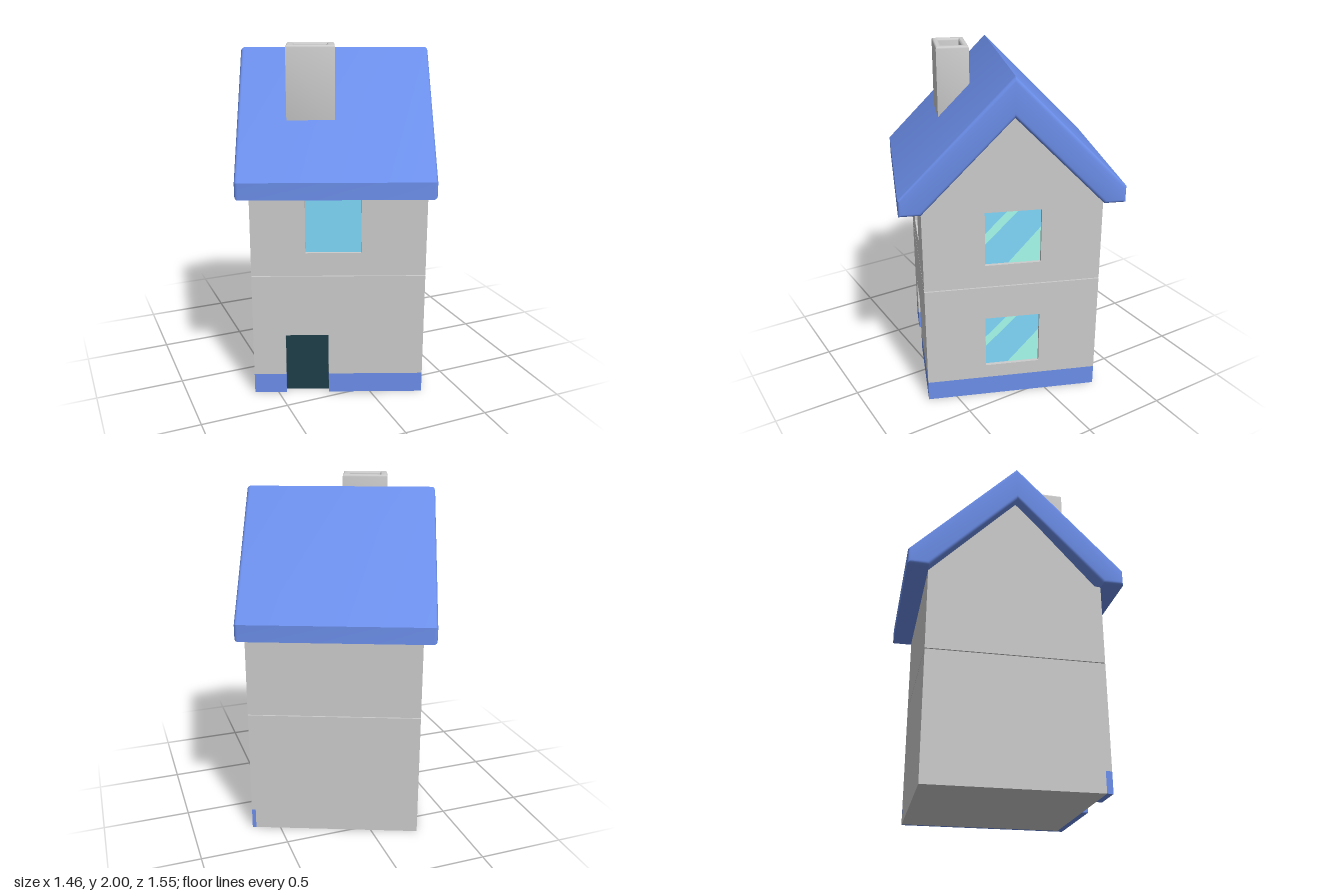
import * as THREE from 'three';
import { toCreasedNormals } from 'three/addons/utils/BufferGeometryUtils.js';

const material = (color, side = THREE.FrontSide) => new THREE.MeshStandardMaterial({ color, side });
const grey = material(0xcccccc);
const blue = material(0x6c8feb);
const glass = material(0x80d8fb);
const glint = material(0xa6fbee, THREE.DoubleSide);
const dark = material(0x1e3e49);

// Wall planes of the house before it is turned
const X0 = -0.475, X1 = 0.505, Z = 0.505;
const GABLE_T = 0.022, FRONT_T = 0.035;
const XI = X1 - GABLE_T, ZI = Z - FRONT_T;
const SPLIT = 0.738, GAP = 0.003, BAND = 0.12;
const EAVE = 1.225, PEAK = 1.745;
const DOOR = [-0.289, -0.041, 0.37];

const poly = (points) => new THREE.Shape(points.map(([x, y]) => new THREE.Vector2(x, y)));
const rect = (x0, y0, x1, y1) => [[x0, y0], [x1, y0], [x1, y1], [x0, y1]];

export function createModel() {
  const house = new THREE.Group();
  house.name = 'house';

  const add = (name, geometry, mat, parent = house) => {
    const mesh = new THREE.Mesh(geometry, mat);
    mesh.name = name;
    parent.add(mesh);
    return mesh;
  };
  const block = (name, mat, [x0, x1], [y0, y1], [z0, z1]) =>
    add(name, new THREE.BoxGeometry(x1 - x0, y1 - y0, z1 - z0), mat)
      .position.set((x0 + x1) / 2, (y0 + y1) / 2, (z0 + z1) / 2);
  // Wall slab facing +z, or +x when turned
  const slab = (name, points, depth, hole) => {
    const shape = poly(points);
    if (hole) shape.holes.push(poly(rect(...hole)));
    return add(name, new THREE.ExtrudeGeometry(shape, { depth, bevelEnabled: false }), grey);
  };
  const faceGable = (mesh, x) => {
    mesh.rotation.y = Math.PI / 2;
    mesh.position.x = x;
  };

  // Inner body in two storeys, with a narrow seam between them
  block('lowerBody', grey, [X0, XI], [0, SPLIT - GAP], [-Z, ZI]);
  block('seam', grey, [X0 + 0.01, X1 - 0.01], [SPLIT - 0.02, SPLIT + 0.02], [-Z + 0.01, Z - 0.01]);
  const gableOutline = (back, front) => [
    [-front, SPLIT + GAP], [back, SPLIT + GAP], [back, EAVE], [0, PEAK], [-front, EAVE],
  ];
  faceGable(slab('upperBody', gableOutline(Z, ZI), XI - X0), X0);

  // Gable wall with one window per storey
  const W = 0.159;
  const windows = [[0.205, 0.53], [0.875, 1.2]];
  faceGable(slab('lowerGableWall', rect(-Z, BAND, Z, SPLIT - GAP), GABLE_T, [-W, windows[0][0], W, windows[0][1]]), XI);
  faceGable(slab('upperGableWall', gableOutline(Z, Z), GABLE_T, [-W, windows[1][0], W, windows[1][1]]), XI);
  for (const [y0, y1] of windows) {
    block('gableWindowPane', glass, [XI - 0.01, XI + 0.001], [y0, y1], [-W, W]);
    const px = ([u, v]) => [(u * 2 - 1) * W, y0 + v * (y1 - y0)];
    const stripes = [
      [[0, 0.37], [0.62, 1], [0.42, 1], [0, 0.57]],
      [[0.42, 0], [1, 0], [1, 0.65]],
    ];
    for (const s of stripes) {
      faceGable(add('windowReflection', new THREE.ShapeGeometry(poly(s.map(px))), glint), XI + 0.003);
    }
  }

  // Front wall with a doorway below and a window above
  const [d0, d1, dTop] = DOOR;
  slab('lowerFrontWall', [
    [X0, BAND], [d0, BAND], [d0, dTop], [d1, dTop], [d1, BAND],
    [XI, BAND], [XI, SPLIT - GAP], [X0, SPLIT - GAP],
  ], FRONT_T).position.z = ZI;
  slab('upperFrontWall', rect(X0, SPLIT + GAP, XI, EAVE), FRONT_T, [-0.17, 0.875, 0.142, 1.2]).position.z = ZI;
  block('frontWindowPane', glass, [-0.17, 0.142], [0.875, 1.2], [ZI, Z - 0.018]);
  block('door', dark, [d0, d1], [0.001, dTop], [ZI - 0.01, ZI + 0.002]);

  // Coloured plinth along the front and gable
  block('plinthFrontRight', blue, [X0, d0], [0, BAND], [ZI, Z]);
  block('plinthFrontLeft', blue, [d1, XI], [0, BAND], [ZI, Z]);
  block('plinthGable', blue, [XI, X1], [0, BAND], [-Z, Z]);

  // Thick chevron roof with softened edges
  const bevel = 0.02, roofLength = 1.08;
  const roofShape = poly([
    [0, 1.735], [-0.505, 1.22], [-0.626, 1.22], [-0.626, 1.315],
    [0, 1.955], [0.626, 1.315], [0.626, 1.22], [0.505, 1.22],
  ]);
  const roof = new THREE.ExtrudeGeometry(roofShape, {
    depth: roofLength - 2 * bevel, bevelThickness: bevel, bevelSize: bevel,
    bevelOffset: -bevel, bevelSegments: 4,
  });
  roof.translate(0, 0, bevel - roofLength / 2);
  roof.rotateY(Math.PI / 2);
  add('roof', toCreasedNormals(roof, 0.5), blue);

  // Hollow chimney with a rounded rim
  const chimney = new THREE.Group();
  chimney.name = 'chimney';
  chimney.position.set(-0.136, 1.5, 0.259);
  house.add(chimney);
  const stackShape = poly(rect(-0.133, -0.093, 0.133, 0.093));
  stackShape.holes.push(poly(rect(-0.09, -0.06, 0.09, 0.06)));
  const stack = new THREE.ExtrudeGeometry(stackShape, {
    depth: 0.476, bevelThickness: 0.012, bevelSize: 0.012, bevelOffset: -0.012, bevelSegments: 3,
  });
  stack.translate(0, 0, 0.012);
  stack.rotateX(-Math.PI / 2);
  add('stack', toCreasedNormals(stack, 0.6), grey, chimney);
  add('flueFloor', new THREE.BoxGeometry(0.2, 0.02, 0.14), grey, chimney).position.y = 0.42;

  // The house stands at an angle to the front
  house.rotation.y = -0.38;
  const model = new THREE.Group();
  model.name = 'model';
  model.add(house);
  return model;
}
